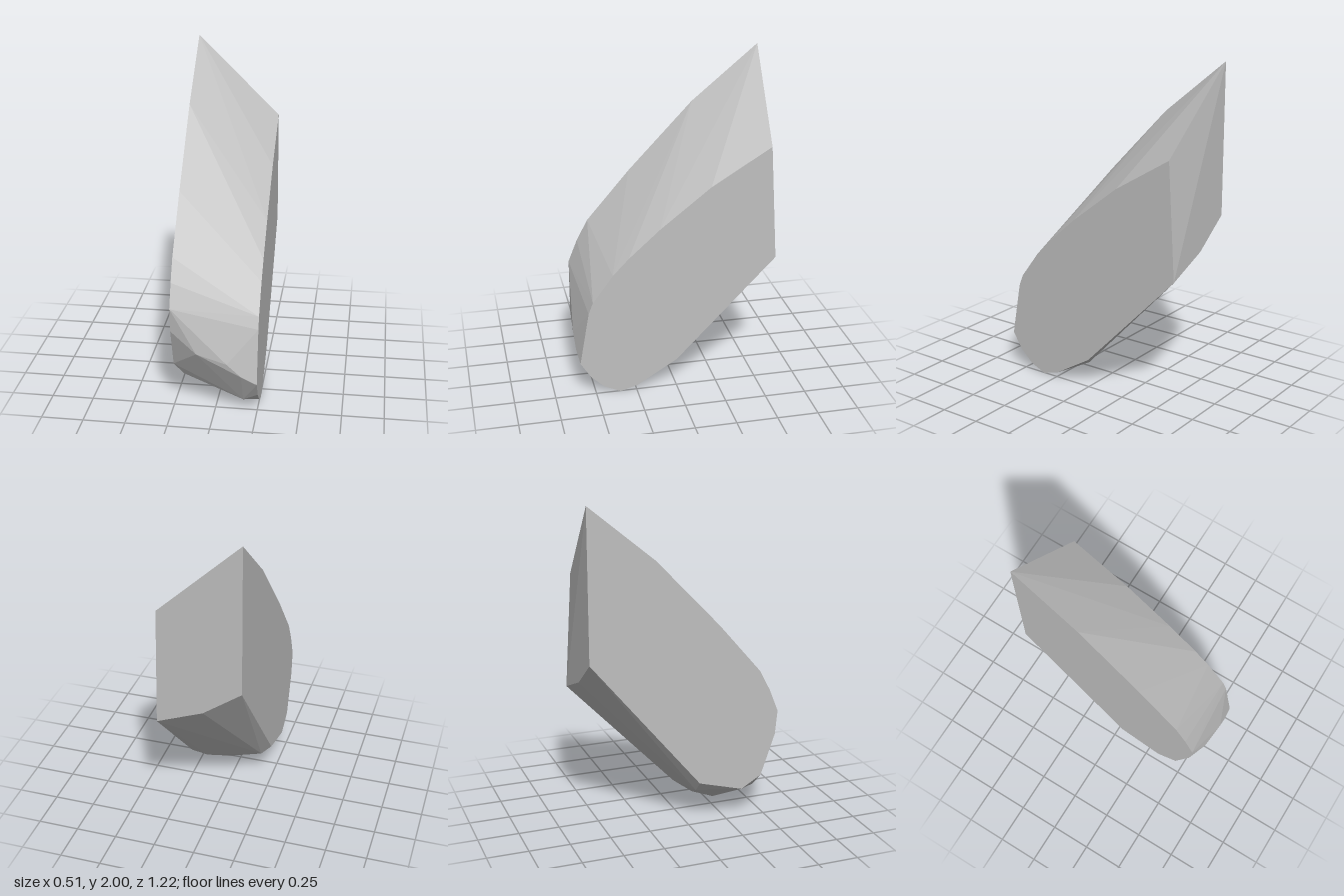
import * as THREE from 'three';
import { ConvexGeometry } from 'three/addons/geometries/ConvexGeometry.js';

export function createModel() {
  const group = new THREE.Group();
  group.name = 'shard';
  const grey = new THREE.MeshStandardMaterial({ color: 0xbfbfbf });
  grey.name = 'stone grey';

  const half = 0.255;
  // outline of the short flat side, as [z, y]
  const shortSide = [
    [-0.566, 1.515], [-0.61, 0.81], [0, 0.18], [0.245, 0.03], [0.35, 0],
    [0.45, 0.045], [0.53, 0.12], [0.593, 0.22], [0.535, 0.55], [0.508, 0.62],
    [0.386, 0.785], [0.29, 0.885], [0.1, 1.055], [-0.206, 1.295],
  ];
  // outline of the tall flat side, as [z, y]
  const tallSide = [
    [-0.61, 2], [-0.61, 1.087], [0.07, 0.265], [0.347, 0.187], [0.475, 0.262],
    [0.565, 0.52], [0.58, 0.67], [0.524, 0.81], [0.455, 0.94], [0.19, 1.248],
    [-0.206, 1.665],
  ];
  // corners between the two sides: back edge, underside and nose, as [x, y, z]
  const middle = [
    [-0.024, 0.92, -0.61],
    [0.17, 0.12, 0.055], [0.045, 0.08, 0.137], [-0.19, 0.195, 0.07],
    [-0.06, 0.075, 0.235], [-0.2, 0.185, 0.446], [0.165, 0.065, 0.5],
    [0.08, 0.35, 0.61], [0.165, 0.27, 0.605], [-0.1, 0.4, 0.6],
  ];

  const points = [
    ...shortSide.map(([z, y]) => new THREE.Vector3(half, y, z)),
    ...tallSide.map(([z, y]) => new THREE.Vector3(-half, y, z)),
    ...middle.map((p) => new THREE.Vector3(...p)),
  ];

  // faceted convex body
  const body = new THREE.Mesh(new ConvexGeometry(points), grey);
  body.name = 'shardBody';
  group.add(body);
  return group;
}
